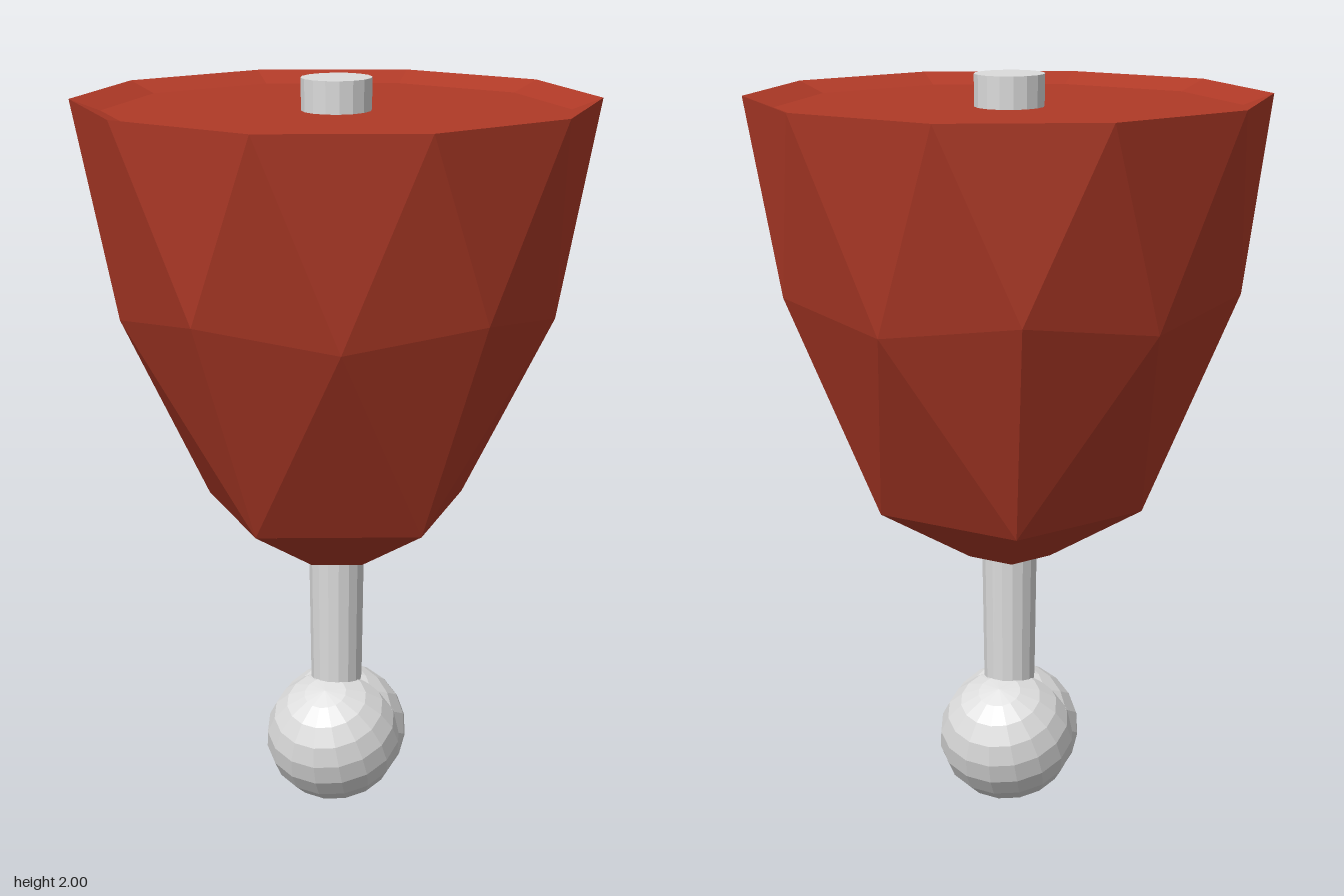
import * as THREE from 'three';

const red = new THREE.MeshStandardMaterial({ color: 0xb03a27 });
red.name = 'red';
const grey = new THREE.MeshStandardMaterial({ color: 0xdcdcdc });
grey.name = 'lightGrey';

function addMesh(parent, name, geometry, material) {
  const mesh = new THREE.Mesh(geometry, material);
  mesh.name = name;
  parent.add(mesh);
  return mesh;
}

// Point on a ring, turned from the -x direction
const ringPoint = (degrees, radius, y) => {
  const a = THREE.MathUtils.degToRad(180 + degrees);
  return [radius * Math.cos(a), y, radius * Math.sin(a)];
};

// Unindexed triangles give every facet its own flat normal
function facets(triangles) {
  const geometry = new THREE.BufferGeometry();
  geometry.setAttribute('position', new THREE.Float32BufferAttribute(triangles.flat(2), 3));
  geometry.computeVertexNormals();
  return geometry;
}

export function createModel() {
  const model = new THREE.Group();
  model.name = 'model';

  // Faceted cup: a five-sided foot ring growing into a ten-sided rim
  const foot = (k) => ringPoint(72 * k, 0.367, 0.845);
  const waist = (k) => (k % 2 === 0 ? ringPoint(36 * k, 0.62, 1.45) : ringPoint(36 * k, 0.59, 1.4));
  const rim = (k) => ringPoint(18 + 36 * k, 0.693, 1.945);
  const dish = (k) => ringPoint(18 + 36 * k, 0.612, 1.915);

  const wall = [];
  for (let k = 0; k < 5; k++) {
    wall.push([foot(k), waist(2 * k + 1), foot(k + 1)]);
    wall.push([waist(2 * k), waist(2 * k + 1), foot(k)]);
    wall.push([waist(2 * k - 1), waist(2 * k), foot(k)]);
  }
  for (let k = 0; k < 10; k++) {
    wall.push([waist(k), rim(k), waist(k + 1)]);
    wall.push([rim(k - 1), rim(k), waist(k)]);
  }
  addMesh(model, 'cupWall', facets(wall), red);

  // Shallow sunken top
  const top = [];
  for (let k = 0; k < 10; k++) {
    top.push([rim(k), dish(k), rim(k + 1)]);
    top.push([dish(k), dish(k + 1), rim(k + 1)]);
    top.push([dish(k), [0, 1.915, 0], dish(k + 1)]);
  }
  addMesh(model, 'cupTop', facets(top), red);

  // Smooth five-sided underside
  const under = new THREE.CylinderGeometry(0.367, 0.115, 0.145, 5, 1, false, -Math.PI / 2);
  addMesh(model, 'cupUnderside', under, red).position.y = 0.7725;

  // Slightly tapered stem running through the cup to the peg on top
  const stem = new THREE.CylinderGeometry(0.099, 0.073, 1.72, 16).toNonIndexed();
  stem.computeVertexNormals();
  stem.scale(0.94, 1, 1);
  addMesh(model, 'stem', stem, grey).position.y = 1.14;

  // Ball made of two overlapping tilted lobes that meet in a crease
  const ball = new THREE.Group();
  ball.name = 'ball';
  for (const side of [1, -1]) {
    let lobe = new THREE.SphereGeometry(0.187, 16, 10);
    lobe.rotateX(side * 0.45);
    lobe.scale(1, 0.96, 1);
    lobe = lobe.toNonIndexed();
    lobe.computeVertexNormals();
    const name = side > 0 ? 'frontLobe' : 'backLobe';
    addMesh(ball, name, lobe, grey).position.set(0, 0.179, side * 0.029);
  }
  model.add(ball);

  return model;
}
